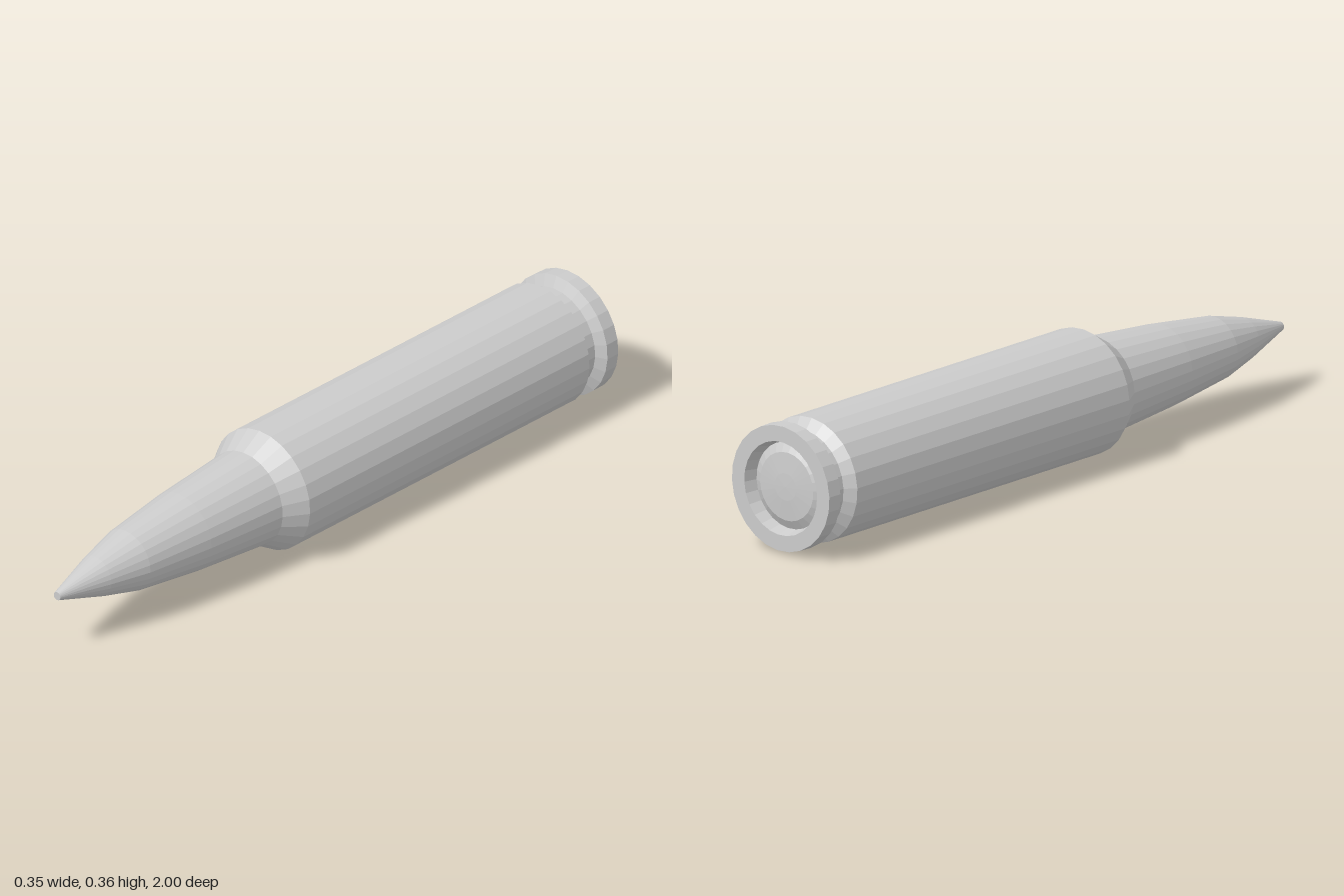
import * as THREE from 'three';

const SIDES = 26;

// Revolve [radius, z] pairs (listed from back to front) around the z axis
function turned(name, profile) {
  const points = profile.map(([r, z]) => new THREE.Vector2(r, z));
  const geometry = new THREE.LatheGeometry(points, SIDES, 0.06);
  geometry.rotateX(Math.PI / 2);
  const material = new THREE.MeshStandardMaterial({ color: 0xcccccc, flatShading: true });
  const mesh = new THREE.Mesh(geometry, material);
  mesh.name = name;
  return mesh;
}

export function createModel() {
  const group = new THREE.Group();
  group.name = 'cartridge';

  // Slightly domed primer set into the base
  const primer = turned('primer', [
    [0, -0.982], [0.038, -0.981], [0.095, -0.976], [0.12, -0.962],
  ]);

  // Case: recessed base, rim, extractor groove, straight body and shoulder
  const caseBody = turned('case', [
    [0.12, -0.962], [0.13, -1], [0.174, -1], [0.175, -0.957],
    [0.144, -0.942], [0.144, -0.91], [0.174, -0.888],
    [0.174, 0.2], [0.135, 0.265],
  ]);

  // Tapering bullet with a tiny blunt tip
  const bullet = turned('bullet', [
    [0.135, 0.265], [0.114, 0.52], [0.088, 0.73], [0.058, 0.85], [0.012, 1], [0, 1],
  ]);

  group.add(primer, caseBody, bullet);

  // Resting on the ground with the nose dipping very slightly
  const tilted = new THREE.Group();
  tilted.name = 'restingPose';
  tilted.add(group);
  group.rotation.set(0.0068, -0.0012, 0);
  group.position.y = 0.1775;
  return tilted;
}
